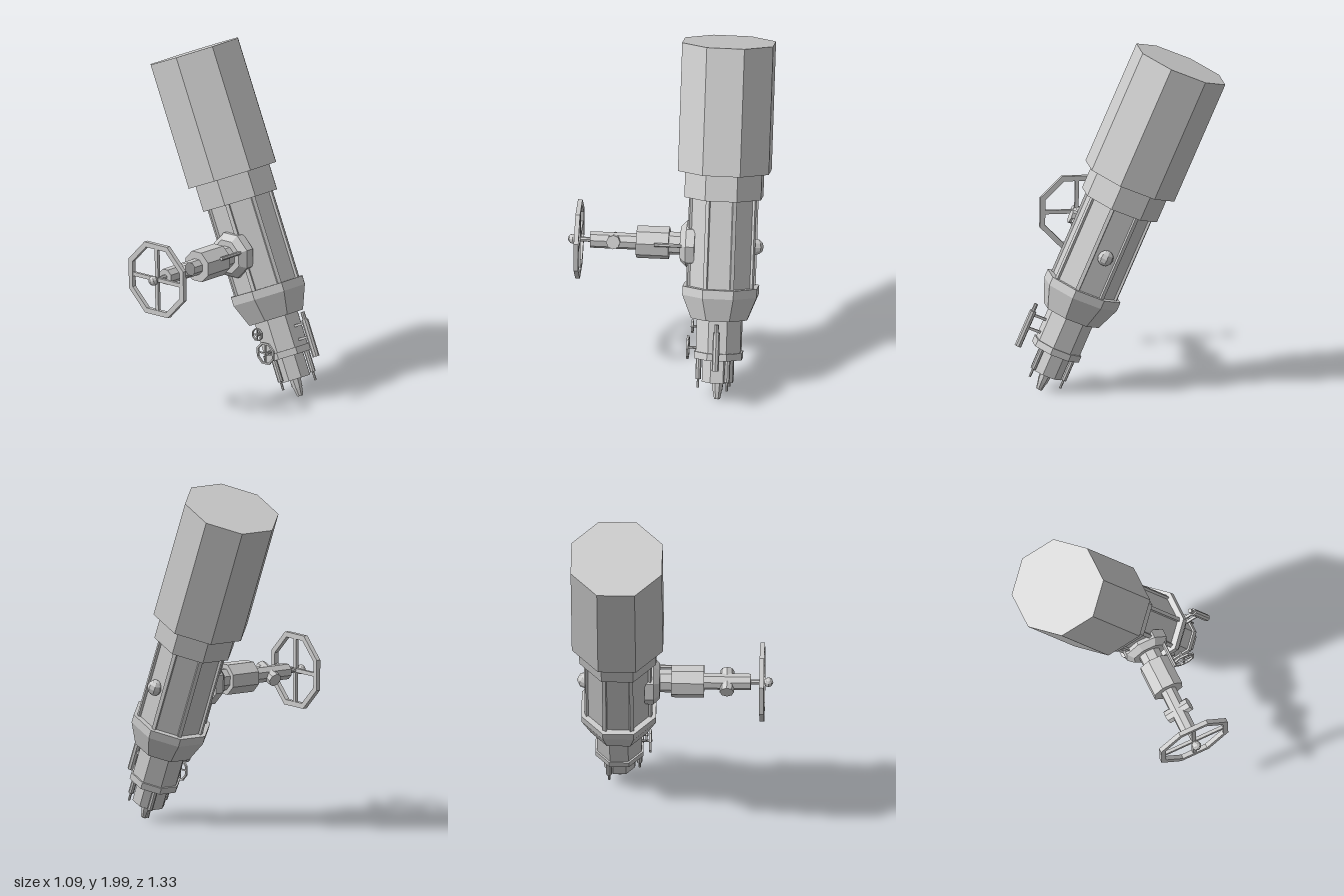
import * as THREE from 'three';

const mat = new THREE.MeshStandardMaterial({ color: 0xcccccc, flatShading: true });

function add(parent, name, geometry, x = 0, y = 0, z = 0) {
  const mesh = new THREE.Mesh(geometry, mat);
  mesh.name = name;
  mesh.position.set(x, y, z);
  parent.add(mesh);
  return mesh;
}

// Octagonal section of the tube between two heights, flats facing x and z
function section(parent, name, y0, y1, r0, r1 = r0, sides = 8) {
  const g = new THREE.CylinderGeometry(r1, r0, y1 - y0, sides, 1, false, Math.PI / 8);
  return add(parent, name, g, 0, (y0 + y1) / 2, 0);
}

// Section lying along z
function along(parent, name, z0, z1, r0, r1 = r0, x = 0, y = 0, sides = 8) {
  const g = new THREE.CylinderGeometry(r1, r0, z1 - z0, sides).rotateX(Math.PI / 2);
  return add(parent, name, g, x, y, (z0 + z1) / 2);
}

// Thin rod along the tube direction
function rod(parent, name, x, z, y0, y1, r, sides = 8) {
  return add(parent, name, new THREE.CylinderGeometry(r, r, y1 - y0, sides), x, (y0 + y1) / 2, z);
}

// Eight-sided handwheel facing z, with four spokes
function handwheel(name, radius, rim, depth) {
  const wheel = new THREE.Group();
  wheel.name = name;
  const ring = (r) => Array.from({ length: 8 }, (_, i) =>
    new THREE.Vector2(r * Math.cos(i * Math.PI / 4), r * Math.sin(i * Math.PI / 4)));
  const shape = new THREE.Shape(ring(radius));
  shape.holes.push(new THREE.Path(ring(radius - rim).reverse()));
  add(wheel, 'wheelRim', new THREE.ExtrudeGeometry(shape, { depth, bevelEnabled: false }), 0, 0, -depth / 2);
  const length = 2 * (radius * 0.924 - rim / 2);
  for (let i = 0; i < 2; i++) {
    const spoke = add(wheel, 'wheelSpoke', new THREE.BoxGeometry(length, rim * 0.7, depth * 0.7));
    spoke.rotation.z = -Math.PI / 8 + i * Math.PI / 2;
  }
  return wheel;
}

export function createModel() {
  const model = new THREE.Group();
  model.name = 'telescope';

  // Everything is built upright along y, then tilted
  const tube = new THREE.Group();
  tube.name = 'tiltedTube';
  tube.position.set(0.42, 0.02, 0.01);
  tube.rotation.set(0, -Math.PI / 6, THREE.MathUtils.degToRad(23.5), 'YXZ');
  model.add(tube);

  // Main barrel
  section(tube, 'hood', 1.31, 2.045, 0.28);
  section(tube, 'upperCollar', 1.16, 1.31, 0.236);
  section(tube, 'mainBarrel', 0.62, 1.17, 0.194);
  section(tube, 'lowerCollarBand', 0.6, 0.65, 0.229);
  section(tube, 'lowerCollarCone', 0.465, 0.6, 0.172, 0.229);
  section(tube, 'lowerBarrel', 0.26, 0.47, 0.137);
  section(tube, 'barrelRim', 0.235, 0.275, 0.147);
  section(tube, 'nosepiece', 0.1, 0.25, 0.095);
  section(tube, 'eyepieceBase', 0.05, 0.1, 0.03, 0.035);
  section(tube, 'eyepieceTip', 0, 0.05, 0.018, 0.028);

  // Ribs on the corners of the barrel
  for (let i = 0; i < 8; i++) {
    const a = Math.PI / 8 + i * Math.PI / 4;
    const rib = add(tube, 'barrelRib', new THREE.BoxGeometry(0.022, 0.52, 0.022),
      0.193 * Math.sin(a), 0.905, 0.193 * Math.cos(a));
    rib.rotation.y = a;
  }

  // Three guide rods around the nosepiece
  for (const deg of [-32, 92, 212]) {
    const a = THREE.MathUtils.degToRad(deg);
    const x = 0.112 * Math.cos(a), z = 0.112 * Math.sin(a);
    rod(tube, 'guideRod', x, z, 0.11, 0.27, 0.016);
    rod(tube, 'guideRodTip', x, z, 0.06, 0.11, 0.007, 6);
  }

  // Side finder tube on two brackets
  rod(tube, 'finderTube', 0.215, 0, 0.19, 0.41, 0.02);
  rod(tube, 'finderEnd', 0.215, 0, 0.41, 0.455, 0.012);
  for (const y of [0.31, 0.39])
    add(tube, 'finderBracket', new THREE.BoxGeometry(0.1, 0.014, 0.014), 0.165, y, 0);

  // Two small adjusting wheels on the front of the lower barrel
  for (const [x, y, z, r] of [[0.01, 0.29, 0.175, 0.068], [-0.03, 0.405, 0.155, 0.038]]) {
    const wheel = handwheel('adjustingWheel', r, r * 0.16, 0.012);
    wheel.position.set(x, y, z);
    tube.add(wheel);
    along(tube, 'adjustingSpindle', 0.11, z + 0.01, 0.008, 0.008, x, y, 6);
  }

  // Round cap on the back of the barrel
  add(tube, 'backCap', new THREE.SphereGeometry(0.046, 8, 6), 0, 0.88, -0.19);

  // Arm reaching forward to the large handwheel
  const arm = new THREE.Group();
  arm.name = 'arm';
  arm.position.y = 0.88;
  tube.add(arm);
  along(arm, 'armFlange', 0.15, 0.2, 0.135);
  along(arm, 'armFlangeBevel', 0.2, 0.235, 0.135, 0.1);
  along(arm, 'armNeck', 0.23, 0.31, 0.065);
  along(arm, 'armHousing', 0.3, 0.485, 0.093);
  along(arm, 'armShaft', 0.48, 0.75, 0.047);
  along(arm, 'armSideRod', 0.19, 0.38, 0.011, 0.011, 0.1, 0, 6);
  add(arm, 'armClamp', new THREE.CylinderGeometry(0.04, 0.04, 0.15, 8).rotateZ(Math.PI / 2), 0, 0, 0.615);
  along(arm, 'wheelSpindle', 0.75, 0.86, 0.014);
  add(arm, 'wheelHub', new THREE.SphereGeometry(0.028, 8, 6), 0, 0, 0.85);
  const wheel = handwheel('largeHandwheel', 0.227, 0.032, 0.026);
  wheel.position.z = 0.815;
  arm.add(wheel);

  return model;
}
